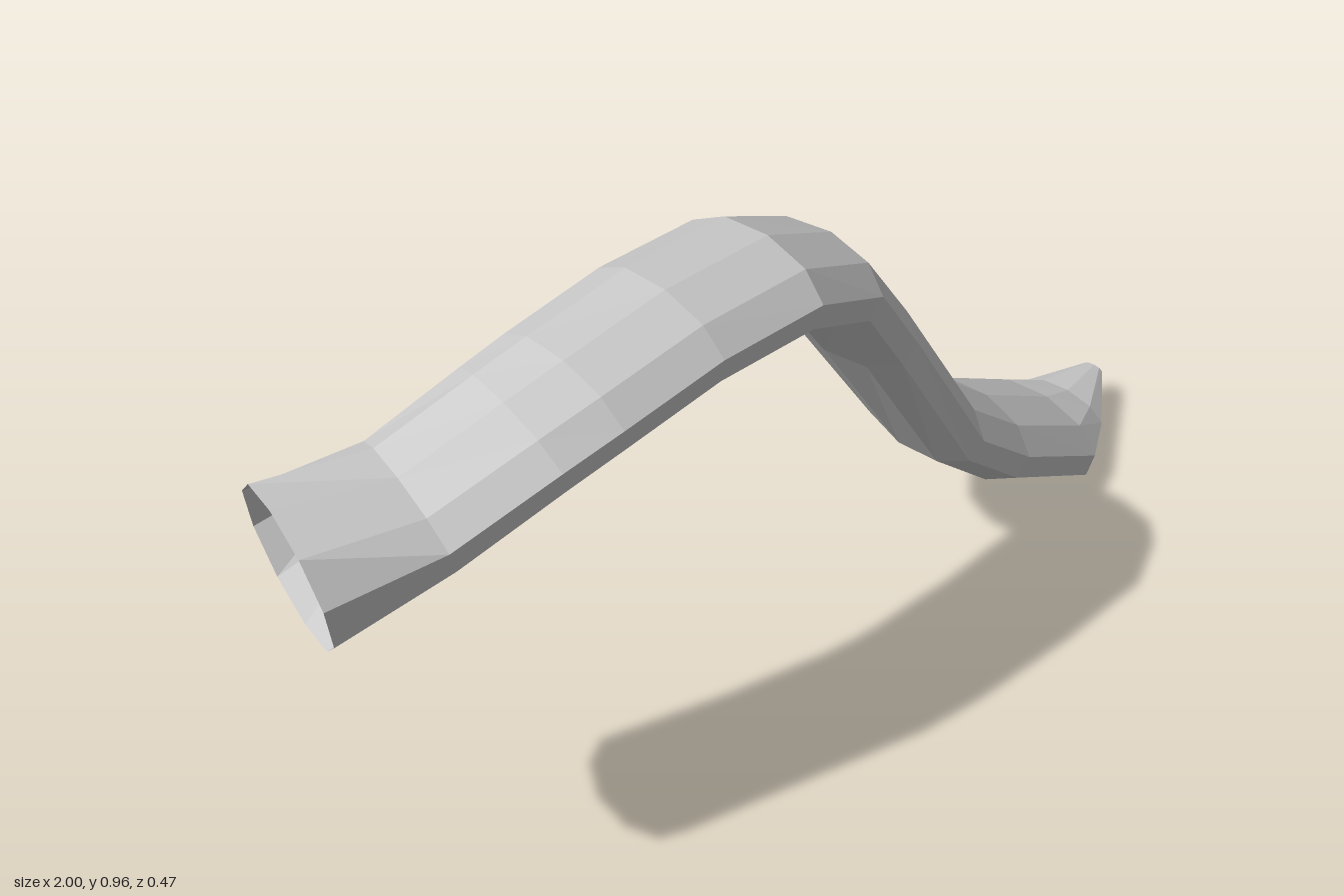
import * as THREE from 'three';

const SIDES = 10;
const ROLL = THREE.MathUtils.degToRad(12);

// Cross-sections along the body: centre x, y, z, half width, half thickness
const STATIONS = [
  [-0.94, 0.742, -0.118, 0.134, 0.134],
  [-0.77, 0.783, -0.038, 0.13, 0.07],
  [-0.62, 0.857, 0.03, 0.132, 0.066],
  [-0.53, 0.88, 0.053, 0.132, 0.067],
  [-0.34, 0.903, 0.08, 0.133, 0.067],
  [-0.135, 0.89, 0.1, 0.134, 0.068],
  [0.04, 0.8, 0.083, 0.135, 0.068],
  [0.175, 0.64, 0.068, 0.135, 0.068],
  [0.4, 0.33, 0.07, 0.135, 0.066],
  [0.54, 0.217, 0.076, 0.135, 0.068],
  [0.78, 0.08, 0.07, 0.137, 0.067],
  [0.88, 0.072, 0.073, 0.085, 0.04],
  [1.0, 0.087, 0.065, 0.019, 0.009],
];

const centres = STATIONS.map(([x, y, z]) => new THREE.Vector3(x, y, z));

// One oval ring, set square to the path and rolled slightly about it
function ring(i) {
  const [, , , width, thickness] = STATIONS[i];
  const last = STATIONS.length - 1;
  const tangent = new THREE.Vector3();
  if (i > 0) tangent.add(centres[i].clone().sub(centres[i - 1]).normalize());
  if (i < last) tangent.add(centres[i + 1].clone().sub(centres[i]).normalize());
  tangent.normalize();
  const across = tangent.clone().cross(new THREE.Vector3(0, 1, 0)).normalize();
  const up = across.clone().cross(tangent);
  across.applyAxisAngle(tangent, ROLL);
  up.applyAxisAngle(tangent, ROLL);
  return Array.from({ length: SIDES }, (_, k) => {
    const a = ((k + 0.5) / SIDES) * Math.PI * 2;
    return centres[i].clone()
      .addScaledVector(across, Math.cos(a) * width)
      .addScaledVector(up, Math.sin(a) * thickness);
  });
}

function geometryFrom(points, index) {
  const g = new THREE.BufferGeometry().setFromPoints(points);
  g.setIndex(index);
  g.computeVertexNormals();
  return g;
}

export function createModel() {
  const group = new THREE.Group();
  group.name = 'tentacle';
  const material = new THREE.MeshStandardMaterial({
    color: 0xcccccc, flatShading: true, side: THREE.DoubleSide,
  });
  const rings = STATIONS.map((_, i) => ring(i));

  // Skin between consecutive rings
  const addTube = (name, from, to) => {
    const index = [];
    for (let i = 0; i < to - from; i++) {
      for (let k = 0; k < SIDES; k++) {
        const a = i * SIDES + k, b = i * SIDES + ((k + 1) % SIDES);
        index.push(a, a + SIDES, b, b, a + SIDES, b + SIDES);
      }
    }
    const mesh = new THREE.Mesh(geometryFrom(rings.slice(from, to + 1).flat(), index), material);
    mesh.name = name;
    group.add(mesh);
  };
  addTube('flaredOpenEnd', 0, 1);
  addTube('body', 1, 10);
  addTube('taperedTip', 10, 12);

  // Small flat facet closing the tip
  const capIndex = [];
  for (let k = 1; k < SIDES - 1; k++) capIndex.push(0, k + 1, k);
  const cap = new THREE.Mesh(geometryFrom(rings[12], capIndex), material);
  cap.name = 'tipCap';
  group.add(cap);

  return group;
}
